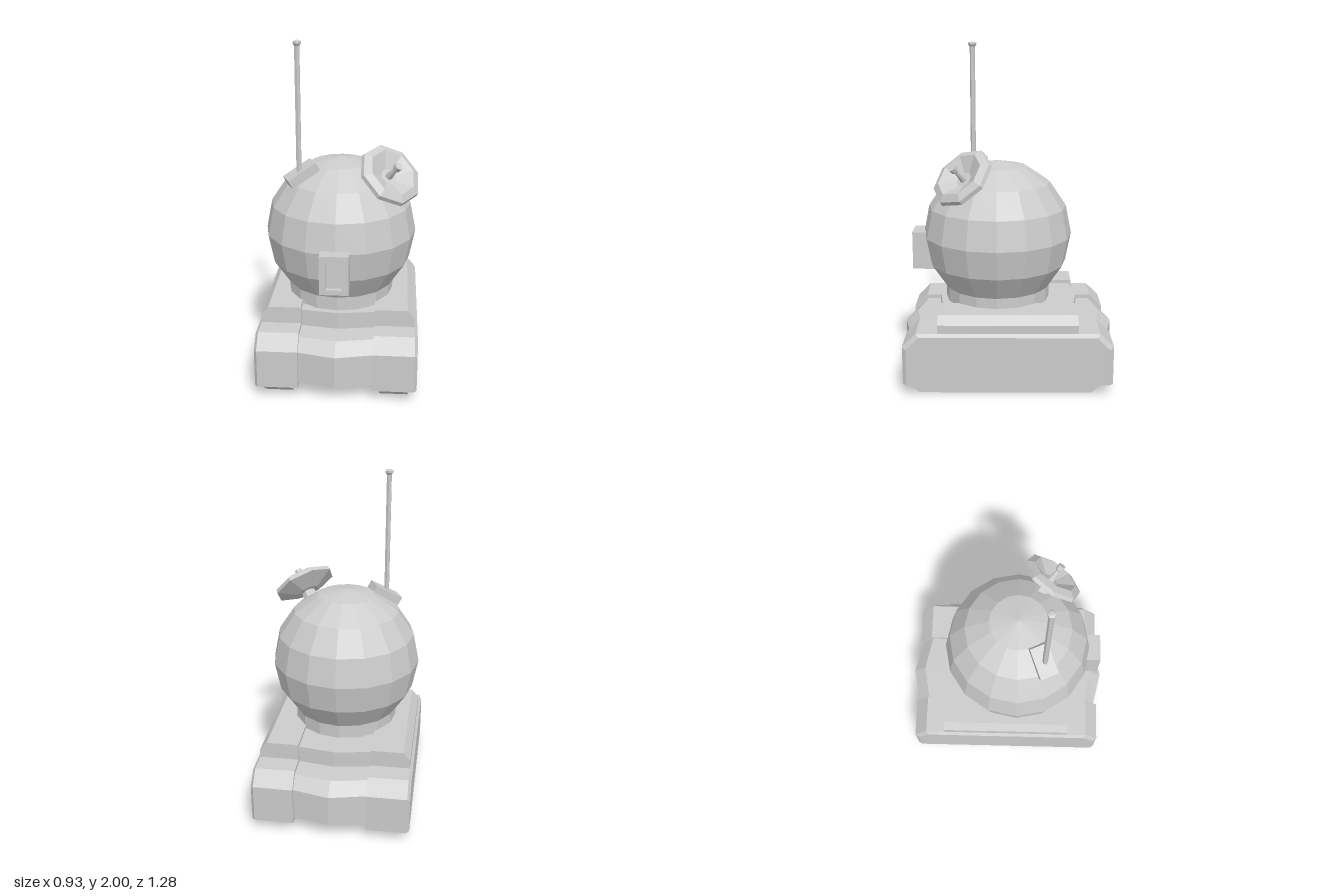
import * as THREE from 'three';

const material = new THREE.MeshStandardMaterial({ color: 0xcccccc, flatShading: true });

function add(parent, name, geometry, x = 0, y = 0, z = 0) {
  const mesh = new THREE.Mesh(geometry, material);
  mesh.name = name;
  mesh.position.set(x, y, z);
  parent.add(mesh);
  return mesh;
}

const shapeOf = (points) => new THREE.Shape(points.map(([x, y]) => new THREE.Vector2(x, y)));

// Extrude a (z, y) side profile along x, centred on x = 0
function extrudeX(points, width, steps = 1) {
  const g = new THREE.ExtrudeGeometry(shapeOf(points), { depth: width, steps, bevelEnabled: false });
  return g.translate(0, 0, -width / 2).rotateY(-Math.PI / 2);
}

// Extrude an (x, y) front profile along z, centred on z = 0
function extrudeZ(points, depth, hole) {
  const shape = shapeOf(points);
  if (hole) shape.holes.push(new THREE.Path(hole.map(([x, y]) => new THREE.Vector2(x, y))));
  return new THREE.ExtrudeGeometry(shape, { depth, bevelEnabled: false }).translate(0, 0, -depth / 2);
}

// Move every vertex by a rule
function reshape(geometry, rule) {
  const p = geometry.attributes.position;
  const v = new THREE.Vector3();
  for (let i = 0; i < p.count; i++) {
    v.fromBufferAttribute(p, i);
    rule(v);
    p.setXYZ(i, v.x, v.y, v.z);
  }
  geometry.computeVertexNormals();
  return geometry;
}

const rect = (x0, x1, y0, y1) => [[x0, y0], [x1, y0], [x1, y1], [x0, y1]];

const lathe = (points, sides) =>
  new THREE.LatheGeometry(points.map(([r, y]) => new THREE.Vector2(r, y)), sides);

function buildBase() {
  const base = new THREE.Group();
  base.name = 'base';

  // Centre hull, pointed at front and back
  const hull = extrudeX([
    [-0.64, 0.1], [0.64, 0.1], [0.64, 0.29], [0.565, 0.355], [0.42, 0.36],
    [0.42, 0.46], [-0.42, 0.46], [-0.42, 0.36], [-0.565, 0.355], [-0.64, 0.29],
  ], 0.44, 2);
  add(base, 'centreHull', reshape(hull, (v) => { if (Math.abs(v.x) > 0.1) v.z *= 0.922; }));

  const podProfile = [
    [-0.61, 0.07], [0.61, 0.07], [0.61, 0.3], [0.53, 0.38], [-0.53, 0.38], [-0.61, 0.3],
  ];
  for (const s of [1, -1]) {
    // Side pod with a tapered outer panel
    add(base, 'sidePod', extrudeX(podProfile, 0.235), s * 0.3325);
    const panel = reshape(extrudeX(podProfile, 0.017), (v) => {
      if (v.x * s > 0) {
        v.z *= 0.965;
        v.y = 0.07 + (v.y - 0.07) * 0.94;
      }
    });
    add(base, 'sidePanel', panel, s * 0.4585);

    // Raised deck with a sloped outer edge
    add(base, 'upperDeck', extrudeZ([
      [s * 0.215, 0.37], [s * 0.45, 0.37], [s * 0.45, 0.43], [s * 0.408, 0.48], [s * 0.215, 0.48],
    ], 0.81));

    // Tread under the pod
    add(base, 'tread', extrudeX([[-0.57, 0.075], [-0.49, 0], [0.52, 0], [0.61, 0.075]], 0.165), s * 0.335);
  }
  return base;
}

function buildHead() {
  const head = new THREE.Group();
  head.name = 'head';
  head.position.set(-0.005, 0.86, 0.065);
  add(head, 'dome', new THREE.SphereGeometry(0.45, 16, 8));
  add(head, 'neck', new THREE.CylinderGeometry(0.318, 0.318, 0.15, 16), 0, -0.355, 0);
  return head;
}

// Box with a recessed window
function buildEye() {
  const eye = new THREE.Group();
  eye.name = 'eye';
  add(eye, 'eyeHousing', new THREE.BoxGeometry(0.165, 0.23, 0.25), -0.0075, 0.765, 0.427);
  add(eye, 'eyeFrame', extrudeZ(rect(-0.09, 0.075, 0.65, 0.88), 0.028, rect(-0.052, 0.037, 0.68, 0.845)), 0, 0, 0.566);
  return eye;
}

function buildAntenna() {
  const antenna = new THREE.Group();
  antenna.name = 'antenna';
  const normal = new THREE.Vector3(-0.45, 0.87, 0.2).normalize();
  const across = new THREE.Vector3(0.41, 0, 0.91).normalize();
  const along = new THREE.Vector3().crossVectors(normal, across).normalize();
  across.crossVectors(along, normal);
  const mount = add(antenna, 'antennaMount', new THREE.BoxGeometry(0.19, 0.055, 0.11), -0.223, 1.241, 0.21);
  mount.quaternion.setFromRotationMatrix(new THREE.Matrix4().makeBasis(along, normal, across));
  add(antenna, 'antennaRod', lathe([
    [0, 1.24], [0.016, 1.24], [0.016, 1.97], [0.025, 1.982], [0.025, 1.993], [0.012, 2], [0, 2],
  ], 6), -0.235, 0, 0.22);
  return antenna;
}

function buildDish() {
  const dish = new THREE.Group();
  dish.name = 'dish';
  const axis = new THREE.Vector3(0.5, 0.685, 0.53).normalize();
  const side = new THREE.Vector3(0.81, -0.59, 0).normalize();
  const third = new THREE.Vector3().crossVectors(side, axis).normalize();
  side.crossVectors(axis, third);
  dish.quaternion.setFromRotationMatrix(new THREE.Matrix4().makeBasis(side, axis, third));
  dish.position.set(0.283, 1.25, 0.254);

  // Eight-sided bowl with a sloped rim
  add(dish, 'dishBowl', lathe([
    [0, -0.05], [0.07, -0.05], [0.195, 0], [0.19, 0.025], [0.145, 0.045], [0.05, -0.005], [0, -0.005],
  ], 8));
  add(dish, 'dishStem', new THREE.CylinderGeometry(0.04, 0.062, 0.12, 8), 0, -0.1, 0);
  add(dish, 'dishFeed', lathe([
    [0.024, -0.01], [0.012, 0.07], [0.024, 0.08], [0.024, 0.11], [0, 0.11],
  ], 8));
  return dish;
}

export function createModel() {
  const model = new THREE.Group();
  model.name = 'dishRobot';
  model.add(buildBase(), buildHead(), buildEye(), buildAntenna(), buildDish());
  return model;
}
